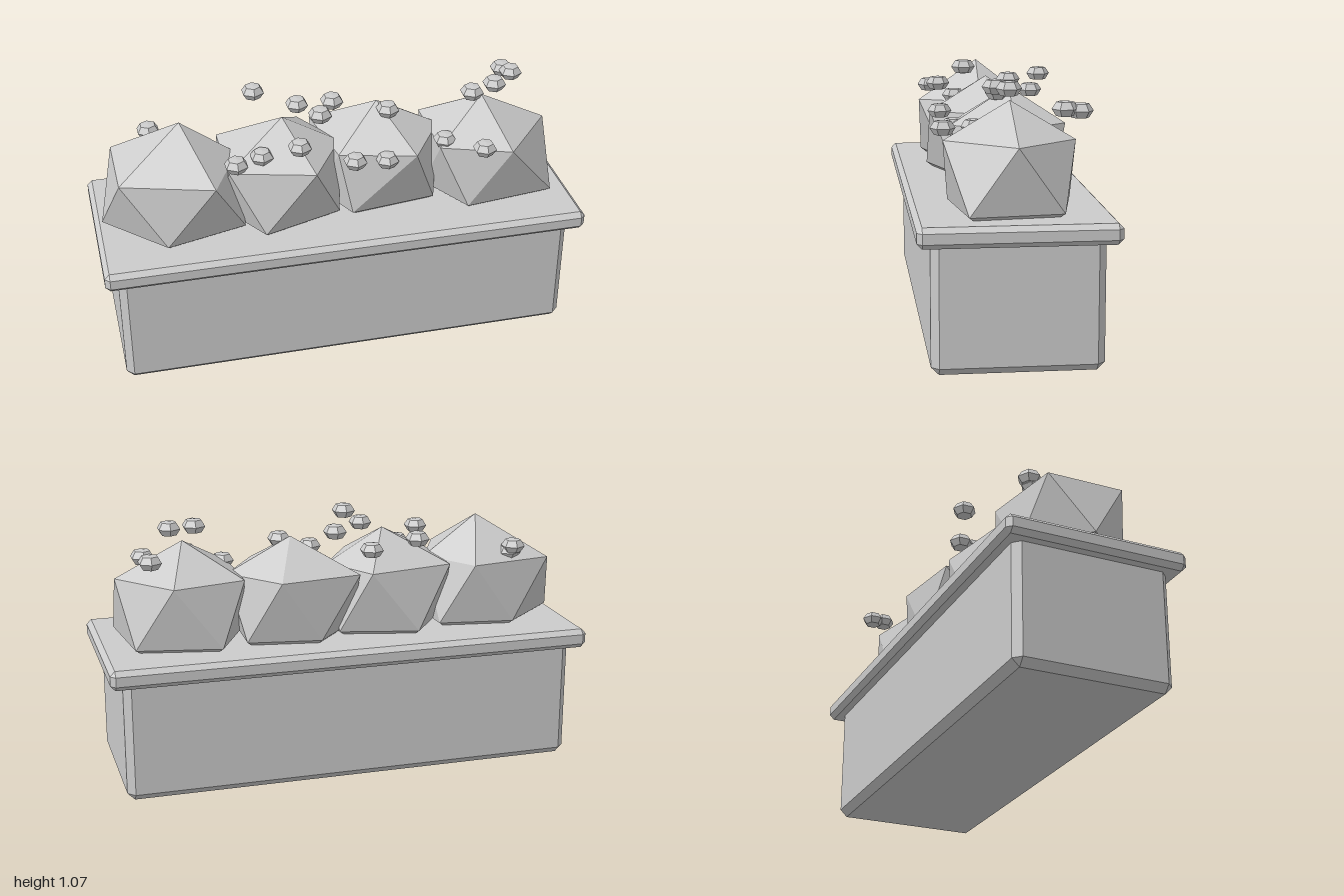
import * as THREE from 'three';
import { ConvexGeometry } from 'three/addons/geometries/ConvexGeometry.js';

const clay = new THREE.MeshStandardMaterial({ color: 0xcccccc, flatShading: true });
clay.name = 'lightGrey';

// Box with chamfered edges, spanning y0..y1
function chamferedBox(name, halfX, y0, y1, halfZ, c) {
  const h = (y1 - y0) / 2, pts = [];
  for (const sx of [-1, 1]) for (const sy of [-1, 1]) for (const sz of [-1, 1]) {
    const add = (x, y, z) => pts.push(new THREE.Vector3(sx * x, sy * y, sz * z));
    add(halfX, h - c, halfZ - c);
    add(halfX - c, h, halfZ - c);
    add(halfX - c, h - c, halfZ);
  }
  const mesh = new THREE.Mesh(new ConvexGeometry(pts), clay);
  mesh.name = name;
  mesh.position.y = (y0 + y1) / 2;
  return mesh;
}

// Irregular twenty-sided shrub: apex, upper ring, lower ring and buried foot
function shrub({ apex, upper, lower }) {
  const verts = [
    apex,
    ...upper.map(([x, z]) => [x, 0.84, z]),
    ...lower.map(([x, z]) => [x, 0.585, z]),
    [apex[0], 0.42, apex[2]],
  ];
  const index = [];
  for (let i = 0; i < 5; i++) {
    const j = (i + 1) % 5, u = 1 + i, u2 = 1 + j, l = 6 + i, l2 = 6 + j;
    index.push(0, u2, u, u, u2, l, l, u2, l2, l, l2, 11);
  }
  const geo = new THREE.BufferGeometry();
  geo.setAttribute('position', new THREE.Float32BufferAttribute(verts.flat(), 3));
  geo.setIndex(index);
  const flat = geo.toNonIndexed();
  flat.computeVertexNormals();
  return new THREE.Mesh(flat, clay);
}

// Rings run from the model's left (+x) round through the front (+z)
const SHRUBS = [
  { apex: [-0.63, 1.01, 0],
    upper: [[-0.4, 0], [-0.53, 0.27], [-0.9, 0.16], [-0.9, -0.16], [-0.55, -0.22]],
    lower: [[-0.4, 0.16], [-0.73, 0.25], [-0.97, 0], [-0.73, -0.21], [-0.42, -0.16]] },
  { apex: [-0.21, 0.98, 0],
    upper: [[0.03, 0], [-0.12, 0.25], [-0.46, 0.16], [-0.46, -0.16], [-0.1, -0.23]],
    lower: [[0, 0.14], [-0.33, 0.25], [-0.48, 0], [-0.3, -0.24], [0.02, -0.16]] },
  { apex: [0.2, 0.98, -0.05],
    upper: [[0.47, -0.05], [0.31, 0.2], [0, 0.12], [-0.05, -0.22], [0.29, -0.27]],
    lower: [[0.41, 0.12], [0.05, 0.17], [-0.06, -0.05], [0.12, -0.25], [0.42, -0.2]] },
  { apex: [0.64, 0.98, 0],
    upper: [[0.92, 0], [0.7, 0.26], [0.42, 0.16], [0.42, -0.17], [0.72, -0.24]],
    lower: [[0.91, 0.18], [0.53, 0.23], [0.4, 0], [0.53, -0.25], [0.87, -0.18]] },
];

// Blossom centres
const BLOSSOMS = [
  [-0.74, 0.9, -0.16], [-0.73, 0.87, -0.14], [-0.44, 0.92, 0.23], [-0.32, 0.885, 0.13],
  [-0.285, 0.98, -0.24], [-0.18, 0.955, 0.21], [-0.11, 0.93, -0.18], [-0.075, 1.035, 0.11],
  [0.015, 0.99, -0.07], [0.045, 0.865, 0.22], [0.235, 0.96, 0], [0.19, 0.825, 0.175],
  [0.45, 0.855, 0.12], [0.58, 1.025, 0.05], [0.58, 0.87, 0.25], [0.69, 1.03, 0.01],
  [0.81, 0.96, -0.24], [0.83, 0.97, -0.18],
];

export function createModel() {
  const model = new THREE.Group();
  model.name = 'flowerBox';

  // Planter trough and its overhanging rim
  model.add(chamferedBox('trough', 0.945, 0, 0.53, 0.325, 0.03));
  model.add(chamferedBox('rim', 1, 0.49, 0.57, 0.377, 0.02));

  // Shrubs
  SHRUBS.forEach((s, i) => {
    const mesh = shrub(s);
    mesh.name = `shrub${i + 1}`;
    model.add(mesh);
  });

  // Small six-sided blossoms
  const profile = [[0, -0.03], [0.033, -0.026], [0.05, 0], [0.033, 0.026], [0, 0.03]]
    .map(([r, y]) => new THREE.Vector2(r, y));
  const blossomGeo = new THREE.LatheGeometry(profile, 6);
  BLOSSOMS.forEach((p, i) => {
    const mesh = new THREE.Mesh(blossomGeo, clay);
    mesh.name = `blossom${i + 1}`;
    mesh.position.set(...p);
    model.add(mesh);
  });
  return model;
}
